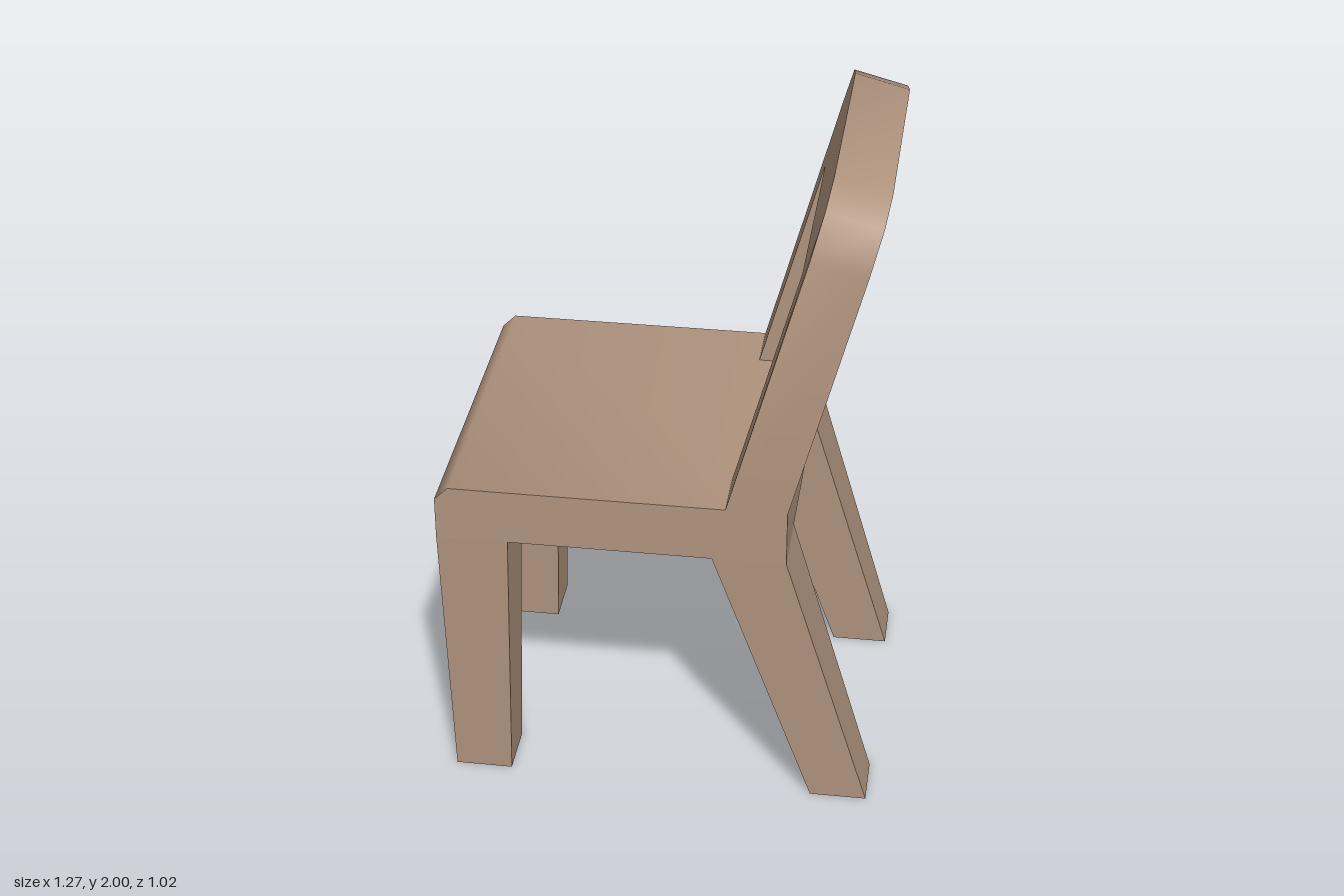
import * as THREE from 'three';
import { toCreasedNormals } from 'three/addons/utils/BufferGeometryUtils.js';

const CREASE = 0.95;
const HALF_WIDTH = 0.51, OPENING = 0.34;
const SEAT_TOP = 1.02, SEAT_BOTTOM = 0.85;
const LEAN = 0.256, BACK_X = 0.38, BACK_DEPTH = 0.165;

const toShape = (pts) => new THREE.Shape(pts.map(([x, y]) => new THREE.Vector2(x, y)));

// Side profile in x/y, extruded evenly across the width
function acrossWidth(pts, halfWidth) {
  const geo = new THREE.ExtrudeGeometry(toShape(pts), { depth: 2 * halfWidth, bevelEnabled: false });
  geo.translate(0, 0, -halfWidth);
  return toCreasedNormals(geo, CREASE);
}

// Tapered leg: a box whose ends have their own x and z ranges
function legGeometry(top, bottom, side) {
  const geo = new THREE.BoxGeometry(1, 1, 1);
  const p = geo.attributes.position;
  for (let i = 0; i < p.count; i++) {
    const up = p.getY(i) > 0;
    const [x0, x1] = up ? top : bottom;
    const [inner, outer] = up ? [0.3, HALF_WIDTH] : [0.32, 0.485];
    const isOuter = p.getZ(i) * side > 0;
    p.setXYZ(i, p.getX(i) > 0 ? x1 : x0, up ? SEAT_BOTTOM : 0, side * (isOuter ? outer : inner));
  }
  return toCreasedNormals(geo, 0.3);
}

// Point on the leaning back: s runs up it, d runs from its rear face forwards
function leaning(s, d) {
  const sin = Math.sin(LEAN), cos = Math.cos(LEAN);
  return [BACK_X + s * sin - d * cos, SEAT_TOP + s * cos + d * sin];
}

// Arch-shaped frame with cut corners, its feet trimmed level with the seat
function backFrameGeometry() {
  const half = [[OPENING, 0.972], [0.465, 0.926], [HALF_WIDTH, 0.796], [HALF_WIDTH, 0], [OPENING, 0], [OPENING, 0.662]];
  const mirrored = half.map(([z, s]) => [-z, s]).reverse();
  const geo = new THREE.ExtrudeGeometry(toShape([...half, ...mirrored]), { depth: BACK_DEPTH, bevelEnabled: false });
  const p = geo.attributes.position;
  for (let i = 0; i < p.count; i++) {
    const z = p.getX(i), s = p.getY(i), d = p.getZ(i);
    const [x, y] = s < 0.001 ? [d > 0.01 ? 0.203 : BACK_X, SEAT_TOP] : leaning(s, d);
    p.setXYZ(i, x, y, z);
  }
  return toCreasedNormals(geo, CREASE);
}

export function createModel() {
  const chair = new THREE.Group();
  chair.name = 'chair';
  const wood = new THREE.MeshStandardMaterial({ color: 0xb0947e });
  wood.name = 'tan wood';

  const add = (name, geo) => {
    const mesh = new THREE.Mesh(geo, wood);
    mesh.name = name;
    chair.add(mesh);
  };

  // Seat with a chamfered front edge
  add('seat', acrossWidth([
    [-0.64, SEAT_BOTTOM], [BACK_X, SEAT_BOTTOM], [BACK_X, SEAT_TOP], [-0.6, SEAT_TOP], [-0.64, 0.98],
  ], HALF_WIDTH));

  // Upright front legs and splayed rear legs
  for (const side of [1, -1]) {
    const label = side > 0 ? 'Left' : 'Right';
    add('frontLeg' + label, legGeometry([-0.64, -0.43], [-0.62, -0.45], side));
    add('rearLeg' + label, legGeometry([0.165, BACK_X], [0.467, 0.635], side));
  }

  // Leaning back and its slat with chamfered front edges
  add('backFrame', backFrameGeometry());
  const slat = [[0.352, 0], [0.517, 0], [0.517, 0.065], [0.487, 0.095], [0.382, 0.095], [0.352, 0.065]];
  add('backSlat', acrossWidth(slat.map(([s, d]) => leaning(s, d)), OPENING));

  return chair;
}
